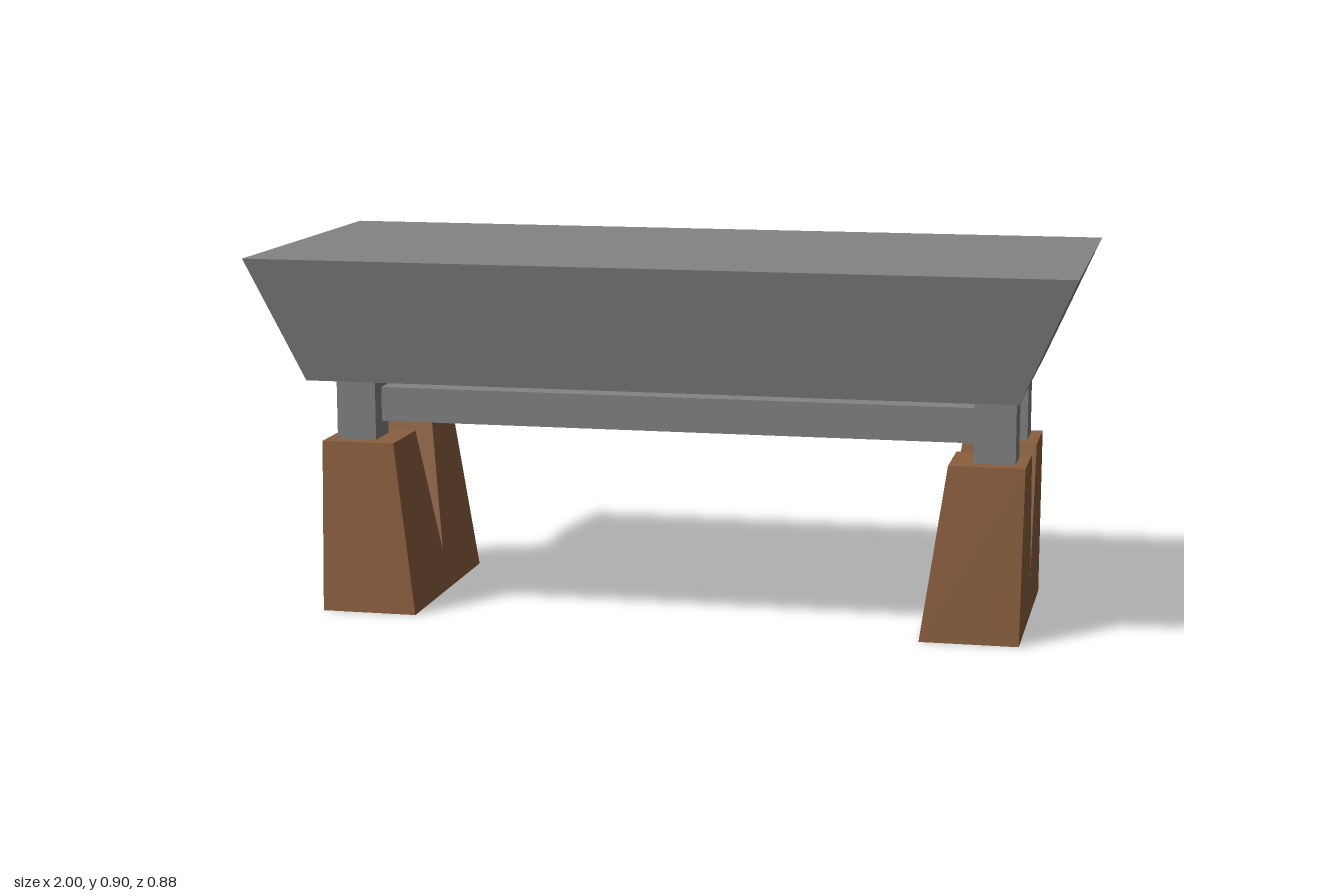
import * as THREE from 'three';

const grey = new THREE.MeshStandardMaterial({ color: 0x838383, flatShading: true });
const brown = new THREE.MeshStandardMaterial({ color: 0x8b5f3d, flatShading: true });

const LEG_TOP = 0.427, SLAB_BOTTOM = 0.601, SLAB_TOP = 0.903;

function addMesh(parent, name, geometry, material, x = 0, y = 0, z = 0) {
  const mesh = new THREE.Mesh(geometry, material);
  mesh.name = name;
  mesh.position.set(x, y, z);
  parent.add(mesh);
  return mesh;
}

// Solid top block that flares outward from its underside
function slabGeometry() {
  const geo = new THREE.BoxGeometry(2, SLAB_TOP - SLAB_BOTTOM, 0.884);
  const p = geo.attributes.position;
  for (let i = 0; i < p.count; i++) {
    if (p.getY(i) < 0) {
      p.setX(i, p.getX(i) * 0.866);
      p.setZ(i, p.getZ(i) * 0.866);
    }
  }
  geo.computeVertexNormals();
  return geo;
}

// Notched foot: profile in z and y, extruded along x, inner face leaning outward
function footGeometry() {
  const profile = new THREE.Shape([
    [-0.287, 0], [0.287, 0], [0.255, LEG_TOP], [0.071, LEG_TOP],
    [0, 0.1], [-0.071, LEG_TOP], [-0.255, LEG_TOP],
  ].map(([z, y]) => new THREE.Vector2(z, y)));
  const geo = new THREE.ExtrudeGeometry(profile, { depth: 1, bevelEnabled: false });
  geo.rotateY(Math.PI / 2);
  const p = geo.attributes.position;
  for (let i = 0; i < p.count; i++) {
    const t = p.getY(i) / LEG_TOP;
    p.setX(i, p.getX(i) > 0.5 ? 0.87 + 0.004 * t : 0.63 + 0.06 * t);
  }
  geo.computeVertexNormals();
  return geo;
}

export function createModel() {
  const model = new THREE.Group();
  model.name = 'bench';

  addMesh(model, 'topSlab', slabGeometry(), grey, 0, (SLAB_TOP + SLAB_BOTTOM) / 2, 0);

  // Long board joining the two pairs of posts
  addMesh(model, 'stretcher', new THREE.BoxGeometry(1.5, 0.086, 0.332), grey, 0, 0.51, 0);

  const foot = footGeometry();
  const postHeight = SLAB_BOTTOM - LEG_TOP;
  const post = new THREE.BoxGeometry(0.1, postHeight, 0.1);
  for (const side of [1, -1]) {
    const support = new THREE.Group();
    support.name = side > 0 ? 'leftSupport' : 'rightSupport';
    support.rotation.y = side > 0 ? 0 : Math.PI;
    addMesh(support, 'foot', foot, brown);
    for (const z of [0.166, -0.166]) {
      addMesh(support, 'post', post, grey, 0.797, LEG_TOP + postHeight / 2, z);
    }
    model.add(support);
  }
  return model;
}
